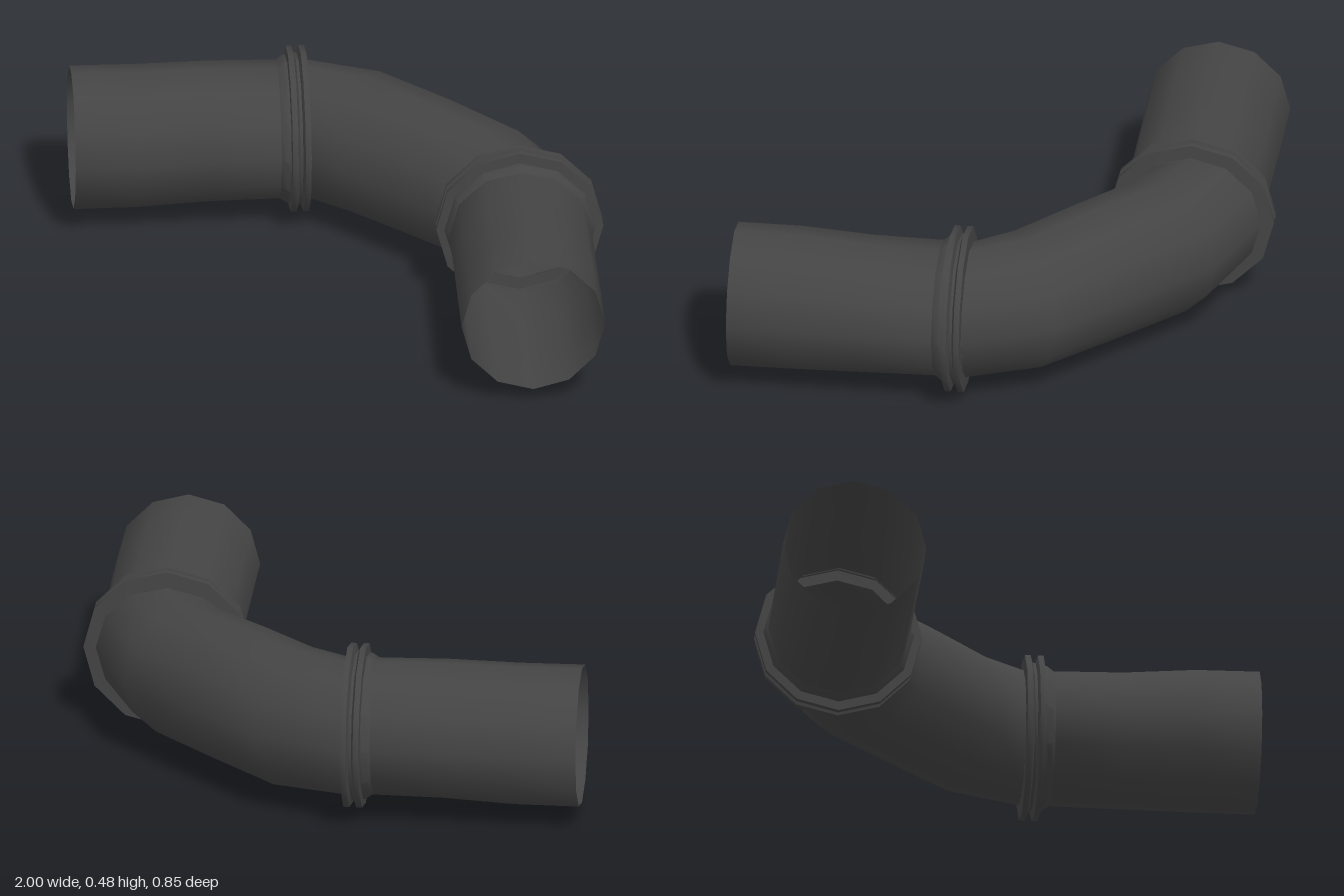
import * as THREE from 'three';
import { toCreasedNormals } from 'three/addons/utils/BufferGeometryUtils.js';

const SIDES = 12;

// Skin a tube through rings: [x, y, z, turn in degrees, half width, half height]
function loft(rings) {
  const pos = [], index = [];
  for (const [x, y, z, deg, w, h] of rings) {
    const a = THREE.MathUtils.degToRad(deg);
    for (let i = 0; i < SIDES; i++) {
      const t = (i / SIDES) * Math.PI * 2;
      const s = w * Math.sin(t);
      pos.push(x + Math.sin(a) * s, y + h * Math.cos(t), z - Math.cos(a) * s);
    }
  }
  for (let r = 0; r < rings.length - 1; r++) {
    for (let i = 0; i < SIDES; i++) {
      const j = (i + 1) % SIDES;
      const a = r * SIDES + i, b = r * SIDES + j, c = a + SIDES, d = b + SIDES;
      index.push(a, b, c, b, d, c);
    }
  }
  const g = new THREE.BufferGeometry();
  g.setAttribute('position', new THREE.Float32BufferAttribute(pos, 3));
  g.setIndex(index);
  return toCreasedNormals(g, THREE.MathUtils.degToRad(40));
}

export function createModel() {
  const group = new THREE.Group();
  const rubber = new THREE.MeshStandardMaterial({ color: 0x444444, side: THREE.DoubleSide });
  rubber.name = 'dark rubber';

  const add = (name, rings) => {
    const mesh = new THREE.Mesh(loft(rings), rubber);
    mesh.name = name;
    group.add(mesh);
  };

  // Collar profile: [distance along the pipe from the collar centre, added radius]
  const collar = [[-0.055, 0], [-0.035, 0.012], [-0.028, 0.012], [-0.026, 0.035], [-0.01, 0.035],
    [-0.004, 0.018], [0.004, 0.018], [0.01, 0.035], [0.026, 0.035], [0.028, 0]];

  // Rings are listed from -x to +x so every tube faces outward
  for (const side of [-1, 1]) {
    const label = side < 0 ? 'right' : 'left';
    const y = side < 0 ? 0.248 : 0.234;
    const h = side < 0 ? 0.192 : 0.186;
    const turn = 45 * side;
    // Ring at distance s from the collar centre, positive towards the middle
    const ring = (s, yy, w, hh) =>
      [side * (0.412 - s * Math.SQRT1_2), yy, -0.165 - s * Math.SQRT1_2, turn, w, hh];
    const order = (list) => (side < 0 ? list : list.reverse());

    // Straight open arm
    add(label + 'Arm', order([
      ring(-0.63, 0.24, 0.2, 0.2),
      ring(-0.45, 0.24, 0.2, 0.199),
      ring(-0.25, y, 0.199, h + 0.003),
      ring(-0.055, y, 0.198, h),
    ]));

    // Double-ridged collar
    add(label + 'Collar', order(collar.map(([s, dr]) =>
      ring(s, y, 0.198 + dr, h + dr * (0.231 - h) / 0.035))));
  }

  // Bent middle section
  add('elbow', [
    [-0.392, 0.246, -0.185, -45, 0.198, 0.192],
    [-0.2275, 0.24, -0.2425, -17, 0.196, 0.2],
    [0, 0.24, -0.245, 0, 0.187, 0.199],
    [0.2275, 0.236, -0.2425, 17, 0.196, 0.193],
    [0.392, 0.234, -0.185, 45, 0.198, 0.186],
  ]);

  return group;
}
